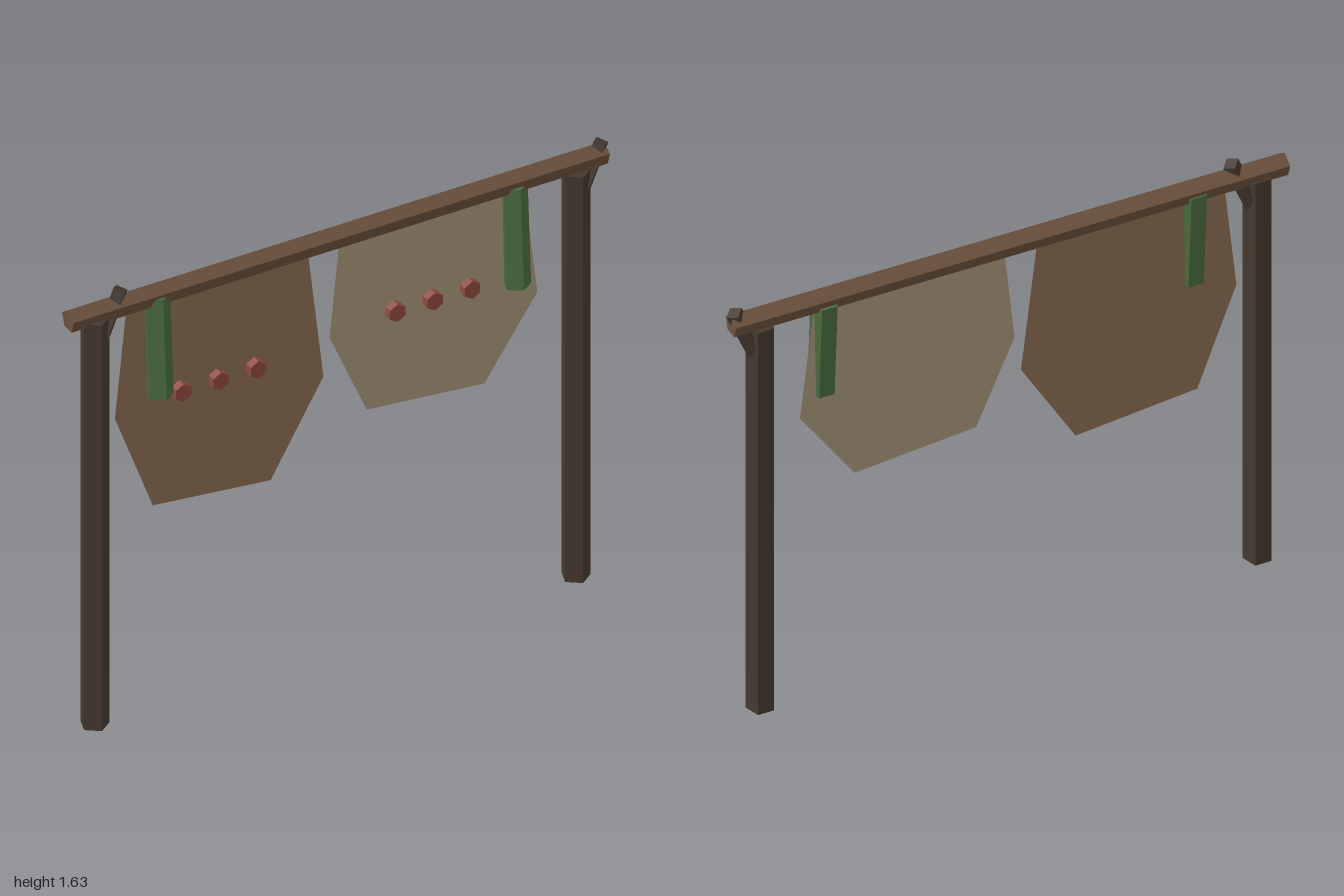
import * as THREE from 'three';

const mat = (color, side = THREE.FrontSide) =>
  new THREE.MeshStandardMaterial({ color, side, flatShading: true });

export function createModel() {
  const group = new THREE.Group();
  const darkWood = mat(0x45392f);
  const beamWood = mat(0x6b503c);
  const green = mat(0x4a6b3f);
  const red = mat(0x8f4a3f);
  const Z = -0.015; // shared depth of the frame

  const add = (name, geometry, material, x, y, z) => {
    const mesh = new THREE.Mesh(geometry, material);
    mesh.name = name;
    mesh.position.set(x, y, z);
    group.add(mesh);
    return mesh;
  };

  // five-sided posts, each with a slanted square peg running up past the beam
  for (const [side, x, pegX] of [['right', -0.905, -0.807], ['left', 0.872, 0.968]]) {
    add(side + 'Post', new THREE.CylinderGeometry(0.049, 0.049, 1.54, 5), darkWood, x, 0.77, -0.013);
    const peg = new THREE.CylinderGeometry(0.029, 0.029, 0.26, 4);
    peg.translate(0, -0.13, 0); // pivot at the top end
    add(side + 'Brace', peg, darkWood, pegX, 1.62, Z).rotation.z = -0.4;
  }

  // slightly tilted five-sided crossbeam, ridge upward
  const beam = new THREE.CylinderGeometry(0.04, 0.04, 1.98, 5);
  beam.rotateX(-Math.PI / 2).rotateY(Math.PI / 2);
  add('crossbeam', beam, beamWood, -0.01, 1.567, -0.017).rotation.z = 0.008;

  // flat hanging hides
  const hide = (name, color, points) => {
    const shape = new THREE.Shape(points.map(([x, y]) => new THREE.Vector2(x, y)));
    add(name, new THREE.ShapeGeometry(shape), mat(color, THREE.DoubleSide), 0, 0, -0.02);
  };
  hide('rightHide', 0x8b6d52, [
    [-0.78, 1.56], [-0.825, 1.13], [-0.685, 0.757], [-0.25, 0.715], [-0.055, 1.047], [-0.115, 1.56]]);
  hide('leftHide', 0xa8957a, [
    [0.007, 1.57], [-0.032, 1.187], [0.105, 0.87], [0.54, 0.833], [0.735, 1.118], [0.682, 1.57]]);

  // green straps leaning forward at the bottom
  for (const [side, x] of [['right', -0.675], ['left', 0.645]]) {
    add(side + 'Strap', new THREE.CylinderGeometry(0.047, 0.047, 0.37, 5), green, x, 1.373, -0.006)
      .rotation.x = -0.06;
  }

  // rows of six-sided studs on the hides
  const stud = new THREE.CylinderGeometry(0.033, 0.033, 0.03, 6).rotateX(Math.PI / 2);
  for (const [side, x, y] of [['right', -0.45, 1.17], ['left', 0.34, 1.223]]) {
    for (let i = -1; i <= 1; i++) add(side + 'Stud', stud, red, x + i * 0.138, y, -0.004);
  }

  return group;
}
